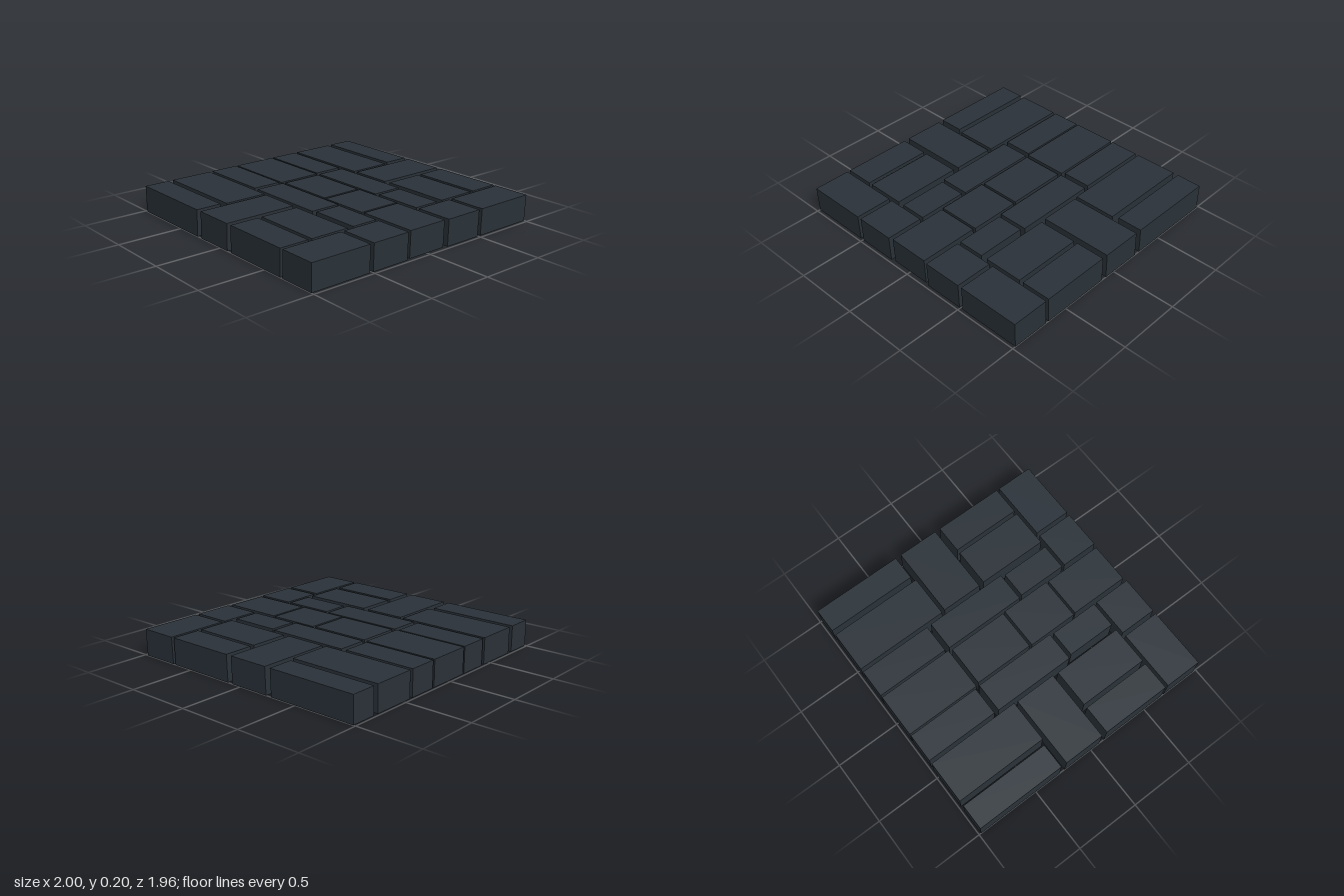
import * as THREE from 'three';

const HEIGHT = 0.2;
const LEAN = 0.006; // tops sit slightly towards the front

// Slab outlines at the ground as [x0, x1, z0, z1]
const CENTRE = [
  [-0.172, 0.168, -0.983, -0.405],
  [-0.16, 0.157, -0.378, 0.085],
  [-0.165, 0.162, 0.104, 0.492],
  [-0.16, 0.157, 0.509, 0.966],
];
const SIDE = [
  [0.185, 0.408, -0.983, -0.422],
  [0.435, 0.765, -0.983, -0.267],
  [0.805, 1, -0.983, -0.286],
  [0.44, 1, -0.24, 0.079],
  [0.18, 0.41, -0.386, 0.256],
  [0.19, 0.395, 0.283, 0.664],
  [0.445, 0.745, 0.122, 0.664],
  [0.775, 1, 0.122, 0.664],
  [0.19, 0.493, 0.688, 0.976],
  [0.523, 1, 0.688, 0.976],
];

// Hollow slab: flat top and four thin walls, open underneath
function slabGeometry(x0, x1, z0, z1) {
  const corners = [[x0, z1], [x1, z1], [x1, z0], [x0, z0]];
  const points = [];
  for (const y of [0, HEIGHT]) {
    for (const [x, z] of corners) {
      const shift = y > 0 && z > -0.98 ? LEAN : 0;
      points.push(x, y, z + shift);
    }
  }
  const faces = [4, 5, 6, 4, 6, 7];
  for (let i = 0; i < 4; i++) {
    const j = (i + 1) % 4;
    faces.push(i, j, j + 4, i, j + 4, i + 4);
  }
  const indexed = new THREE.BufferGeometry();
  indexed.setAttribute('position', new THREE.Float32BufferAttribute(points, 3));
  indexed.setIndex(faces);
  const geometry = indexed.toNonIndexed();
  geometry.computeVertexNormals();
  return geometry;
}

export function createModel() {
  const model = new THREE.Group();
  model.name = 'stonePaving';
  const slate = new THREE.MeshStandardMaterial({ color: 0x293138, side: THREE.DoubleSide });
  slate.name = 'dark slate';

  const addSlab = (name, x0, x1, z0, z1) => {
    const slab = new THREE.Mesh(slabGeometry(x0, x1, z0, z1), slate);
    slab.name = name;
    model.add(slab);
  };

  // Middle column
  CENTRE.forEach((s, i) => addSlab(`centreSlab${i + 1}`, ...s));

  // Slabs repeated on both sides
  SIDE.forEach(([x0, x1, z0, z1], i) => {
    addSlab(`leftSlab${i + 1}`, x0, x1, z0, z1);
    addSlab(`rightSlab${i + 1}`, -x1, -x0, z0, z1);
  });
  return model;
}
